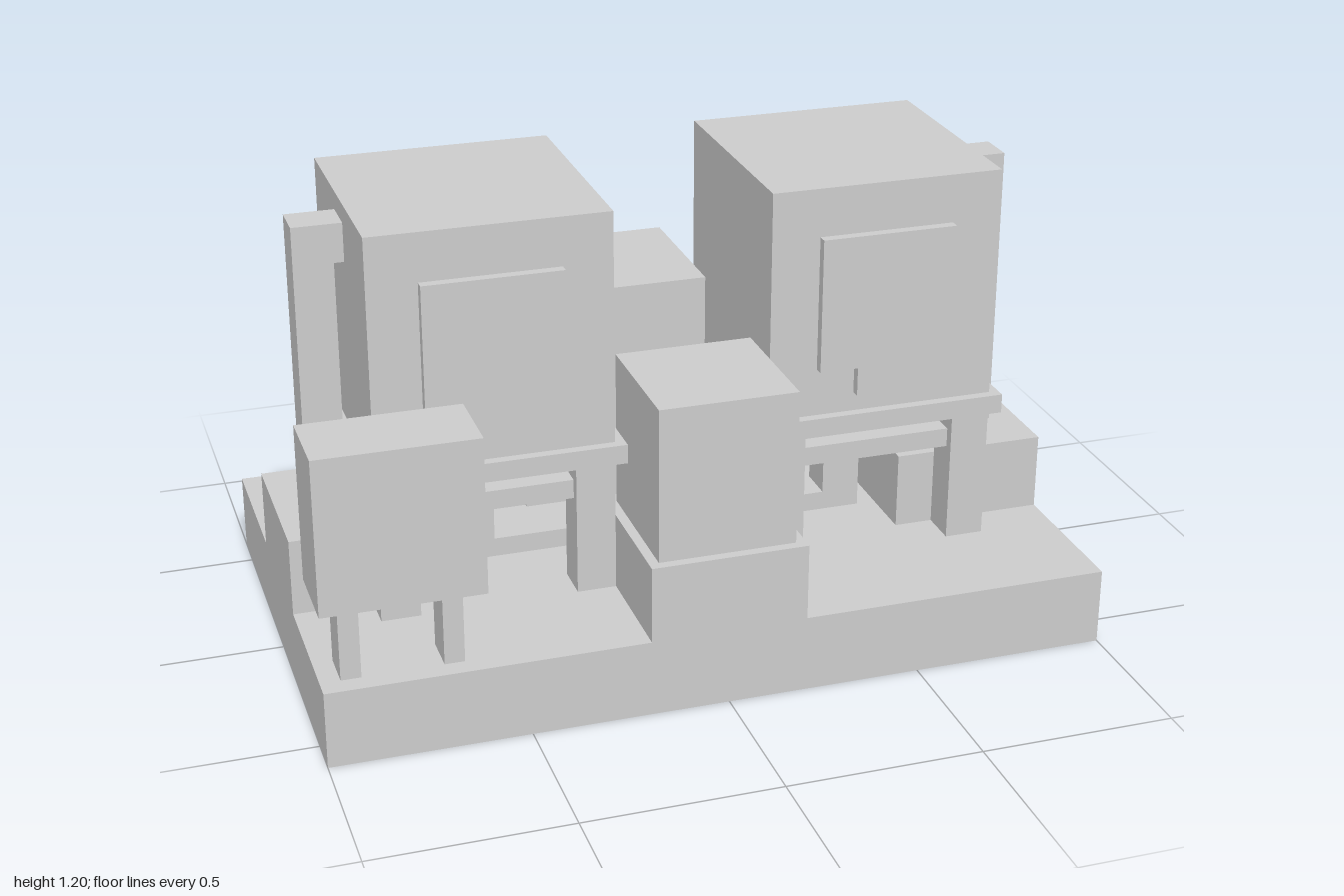
import * as THREE from 'three';

const material = new THREE.MeshStandardMaterial({ color: 0xcccccc, flatShading: true });

// Box given by its extents on each axis.
function block(parent, name, [x0, x1], [y0, y1], [z0, z1]) {
  const mesh = new THREE.Mesh(new THREE.BoxGeometry(x1 - x0, y1 - y0, z1 - z0), material);
  mesh.position.set((x0 + x1) / 2, (y0 + y1) / 2, (z0 + z1) / 2);
  mesh.name = name;
  parent.add(mesh);
}

// x range mirrored to the given side
const mirror = (side, a, b) => (side > 0 ? [a, b] : [-b, -a]);

function createTankUnit(side) {
  const unit = new THREE.Group();
  unit.name = side > 0 ? 'leftTankUnit' : 'rightTankUnit';
  const add = (name, x, y, z) => block(unit, name, mirror(side, ...x), y, z);

  // Tank on its tray
  add('tank', [0.2, 0.8], [0.6, 1.2], [-0.3, 0.3]);
  add('tray', [0.175, 0.825], [0.55, 0.6], [-0.325, 0.325]);

  // Front panel with its lower tab
  add('frontPanel', [0.325, 0.675], [0.725, 1.075], [0.3, 0.325]);
  add('panelTab', [0.425, 0.575], [0.65, 0.725], [0.3, 0.325]);

  // Stand: four legs joined by rails
  for (const z of [-0.25, 0.25]) {
    for (const x of [0.25, 0.75]) {
      add('leg', [x - 0.05, x + 0.05], [0.2, 0.55], [z - 0.05, z + 0.05]);
    }
    add('crossRail', [0.3, 0.7], [0.45, 0.5], [z - 0.025, z + 0.025]);
  }
  for (const x of [0.25, 0.75]) {
    add('sideRail', [x - 0.025, x + 0.025], [0.45, 0.5], [-0.2, 0.2]);
  }

  // Drain pipe under the tank, running along the floor to the middle
  add('drainPipe', [0.45, 0.55], [0.25, 0.55], [-0.05, 0.05]);
  add('floorPipe', [0, 0.55], [0.2, 0.25], [-0.05, 0.05]);

  // Outer step and the feed pipe bent into the tank
  add('sideStep', [0.6, 1], [0.2, 0.4], [-0.2, 0.2]);
  add('feedPipe', [0.825, 0.925], [0.4, 1.15], [-0.05, 0.05]);
  add('feedElbow', [0.8, 0.825], [1.05, 1.15], [-0.05, 0.05]);
  return unit;
}

export function createModel() {
  const model = new THREE.Group();
  model.name = 'twinTankPlant';

  // Base and central blocks
  block(model, 'base', [-1, 1], [0, 0.2], [-0.6, 0.6]);
  block(model, 'rearBlock', [-0.2, 0.2], [0.2, 0.8], [-0.6, -0.2]);
  block(model, 'frontPlinth', [-0.2, 0.2], [0.2, 0.4], [0.2, 0.6]);
  block(model, 'pumpBox', [-0.175, 0.175], [0.4, 0.8], [0.225, 0.575]);
  block(model, 'centrePipe', [-0.05, 0.05], [0.2, 0.25], [0.05, 0.2]);

  for (const side of [1, -1]) model.add(createTankUnit(side));

  // Sign box on two short posts at the front corner
  const sign = new THREE.Group();
  sign.name = 'signBox';
  block(sign, 'signBody', [-1, -0.6], [0.4, 0.8], [0.4, 0.6]);
  for (const x of [-0.95, -0.7]) block(sign, 'signPost', [x, x + 0.05], [0.2, 0.4], [0.45, 0.55]);
  model.add(sign);

  return model;
}
